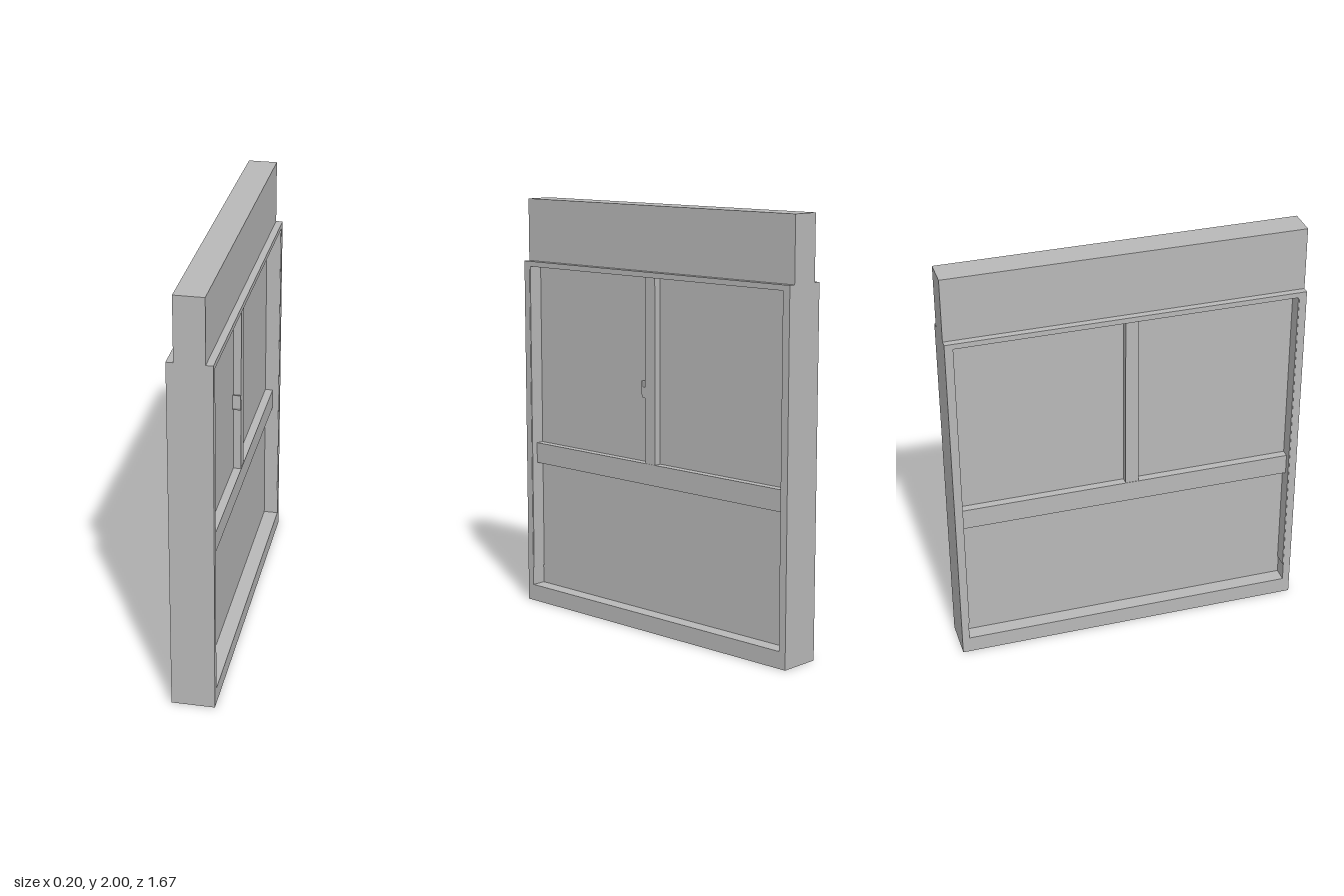
import * as THREE from 'three';

export function createModel() {
  const group = new THREE.Group();
  group.name = 'window';
  const grey = new THREE.MeshStandardMaterial({ color: 0xb8b8b8 });
  grey.name = 'grey';

  // Box given by its limits on each axis
  function block(name, x0, x1, y0, y1, z0, z1) {
    const mesh = new THREE.Mesh(new THREE.BoxGeometry(x1 - x0, y1 - y0, z1 - z0), grey);
    mesh.position.set((x0 + x1) / 2, (y0 + y1) / 2, (z0 + z1) / 2);
    mesh.name = name;
    group.add(mesh);
  }

  // Extrusion of a (z, y) outline through the thickness x0..x1
  function panel(name, shape, x0, x1) {
    const geo = new THREE.ExtrudeGeometry(shape, { depth: x1 - x0, bevelEnabled: false });
    geo.rotateY(-Math.PI / 2);
    geo.translate(x1, 0, 0);
    const mesh = new THREE.Mesh(geo, grey);
    mesh.name = name;
    group.add(mesh);
  }

  const polygon = (pts) => pts.map(([z, y]) => new THREE.Vector2(z, y));
  const rect = (w, y0, y1) => polygon([[-w, y0], [w, y0], [w, y1], [-w, y1]]);

  // Outer frame with one large opening
  const frame = new THREE.Shape(rect(0.835, 0, 1.7));
  frame.holes.push(new THREE.Path(rect(0.8, 0.08, 1.675)));
  panel('outerFrame', frame, -0.1, 0.1);

  // Header box on top of the frame
  block('header', -0.068, 0.068, 1.7, 2, -0.835, 0.835);

  // Panes, cross rail and centre mullion
  block('panes', -0.03, 0.03, 0.08, 1.675, -0.8, 0.8);
  block('crossRail', -0.068, 0.068, 0.7, 0.8, -0.8, 0.8);
  block('mullion', -0.066, 0.066, 0.8, 1.675, -0.01, 0.052);

  // Thin guide strips on both jambs
  for (const s of [-1, 1]) {
    const inner = s * 0.796, outer = s * 0.8;
    block('jambGuide', -0.098, 0.098, 0.17, 1.675, Math.min(inner, outer), Math.max(inner, outer));
  }

  // Hooked latch beside the mullion
  const latch = new THREE.Shape(polygon([
    [0.052, 1.11], [0.066, 1.112], [0.073, 1.125], [0.073, 1.19],
    [0.066, 1.19], [0.064, 1.16], [0.052, 1.16],
  ]));
  panel('latch', latch, 0.03, 0.068);

  return group;
}
